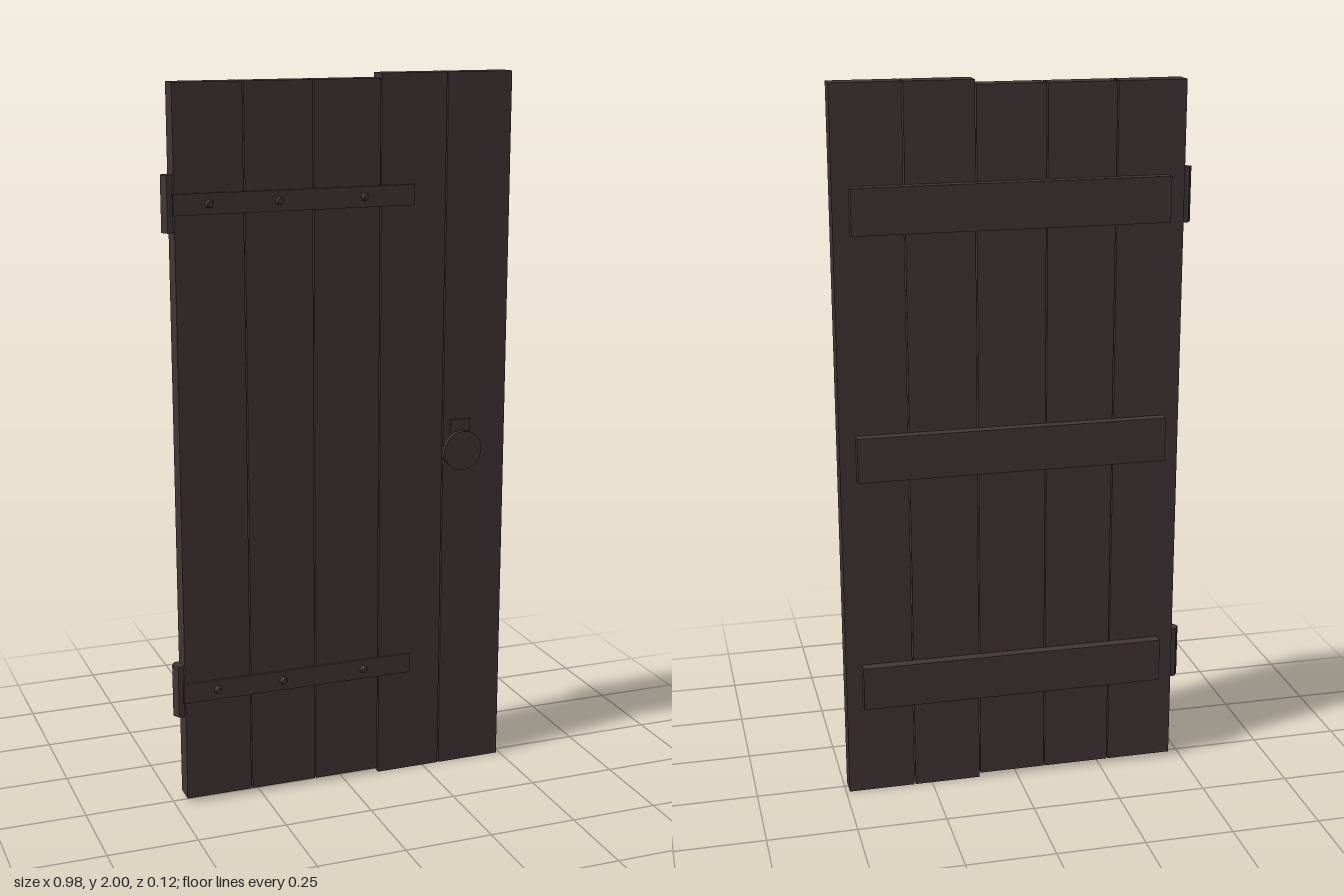
import * as THREE from 'three';

export function createModel() {
  const door = new THREE.Group();
  door.name = 'plankDoor';
  const wood = new THREE.MeshStandardMaterial({ color: 0x433636 });
  wood.name = 'darkBrown';
  wood.flatShading = true;

  const add = (name, geometry, x, y, z) => {
    const mesh = new THREE.Mesh(geometry, wood);
    mesh.name = name;
    mesh.position.set(x, y, z);
    door.add(mesh);
    return mesh;
  };
  // Box given by its limits on each axis
  const block = (name, x0, x1, y0, y1, z0, z1) =>
    add(name, new THREE.BoxGeometry(x1 - x0, y1 - y0, z1 - z0),
      (x0 + x1) / 2, (y0 + y1) / 2, (z0 + z1) / 2);

  // Five upright planks with narrow gaps, the last two slightly longer
  for (let i = 0; i < 5; i++) {
    const x = -0.465 + i * 0.1917;
    const inset = i < 3 ? 0.013 : 0;
    block('plank', x, x + 0.188, inset, 2 - inset, -0.034, 0.025);
  }

  // Battens across the back
  for (const y of [0.328, 1.0, 1.673]) {
    block('backBatten', -0.42, 0.445, y - 0.0625, y + 0.0625, -0.063, -0.034);
  }

  // Strap hinges with studs and hexagonal barrels
  for (const y of [0.33, 1.677]) {
    block('hingeStrap', -0.47, 0.204, y - 0.028, y + 0.028, 0.024, 0.033);
    for (const x of [-0.373, -0.181, 0.06]) {
      const stud = new THREE.CylinderGeometry(0.008, 0.012, 0.012, 8);
      stud.rotateX(Math.PI / 2);
      add('hingeStud', stud, x, y, 0.038);
    }
    const barrel = new THREE.CylinderGeometry(0.023, 0.023, 0.15, 6);
    barrel.rotateY(Math.PI / 2);
    add('hingeBarrel', barrel, -0.469, y, -0.007);
  }

  // Handle: small mounting plate and a round disc in front of it
  block('handlePlate', 0.32, 0.378, 0.985, 1.042, 0.029, 0.037);
  const disc = new THREE.CylinderGeometry(0.057, 0.057, 0.014, 16);
  disc.rotateX(Math.PI / 2);
  add('handleDisc', disc, 0.348, 0.956, 0.052);

  return door;
}
